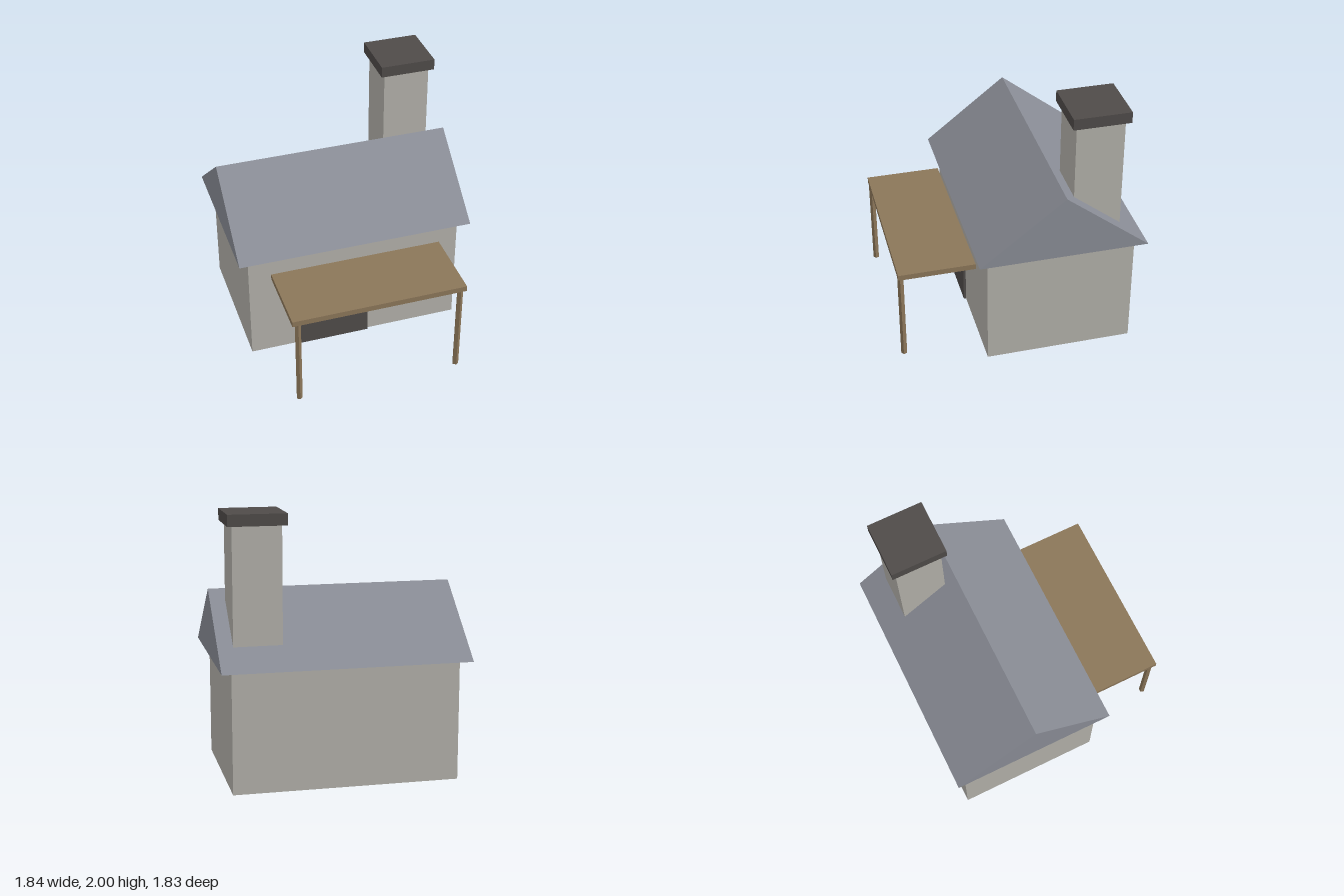
import * as THREE from 'three';

export function createModel() {
  const model = new THREE.Group();
  model.name = 'forgeHouse';

  const mat = (name, color) => {
    const m = new THREE.MeshStandardMaterial({ color });
    m.name = name;
    return m;
  };
  const stone = mat('stone', 0xb2b0a9);
  const slate = mat('slate', 0x898c95);
  const wood = mat('wood', 0x8b7659);
  const dark = mat('soot', 0x4f4b49);

  const add = (name, geometry, material, x = 0, y = 0, z = 0) => {
    const mesh = new THREE.Mesh(geometry, material);
    mesh.name = name;
    mesh.position.set(x, y, z);
    model.add(mesh);
    return mesh;
  };
  // Box given by its lower and upper limits on each axis
  const box = (name, material, [x0, x1], [y0, y1], [z0, z1]) =>
    add(name, new THREE.BoxGeometry(x1 - x0, y1 - y0, z1 - z0), material,
      (x0 + x1) / 2, (y0 + y1) / 2, (z0 + z1) / 2);

  // Walls and doorway
  box('walls', stone, [-0.84, 0.84], [0, 0.905], [-0.835, 0.285]);
  box('doorway', dark, [-0.472, 0.108], [0, 0.54], [0.27, 0.303]);

  // Gable roof: triangular section run along x
  const gable = new THREE.Shape([
    new THREE.Vector2(-0.637, 0),
    new THREE.Vector2(0.637, 0),
    new THREE.Vector2(0, 0.5),
  ]);
  const roof = new THREE.ExtrudeGeometry(gable, { depth: 1.84, bevelEnabled: false });
  roof.translate(0, 0, -0.92).rotateY(Math.PI / 2);
  add('roof', roof, slate, 0, 0.905, -0.277);

  // Chimney with its cap
  box('chimney', stone, [0.449, 0.807], [0.92, 1.915], [-0.721, -0.363]);
  box('chimneyCap', dark, [0.415, 0.841], [1.915, 2], [-0.755, -0.329]);

  // Porch canopy on two slim five-sided posts
  box('canopy', wood, [-0.675, 0.675], [0.725, 0.768], [0.333, 0.914]);
  wood.flatShading = false;
  const post = new THREE.CylinderGeometry(0.024, 0.024, 0.725, 5).toNonIndexed();
  post.computeVertexNormals();
  for (const side of [-1, 1]) {
    add(side < 0 ? 'rightPost' : 'leftPost', post, wood, side * 0.63, 0.3625, 0.89);
  }

  return model;
}
